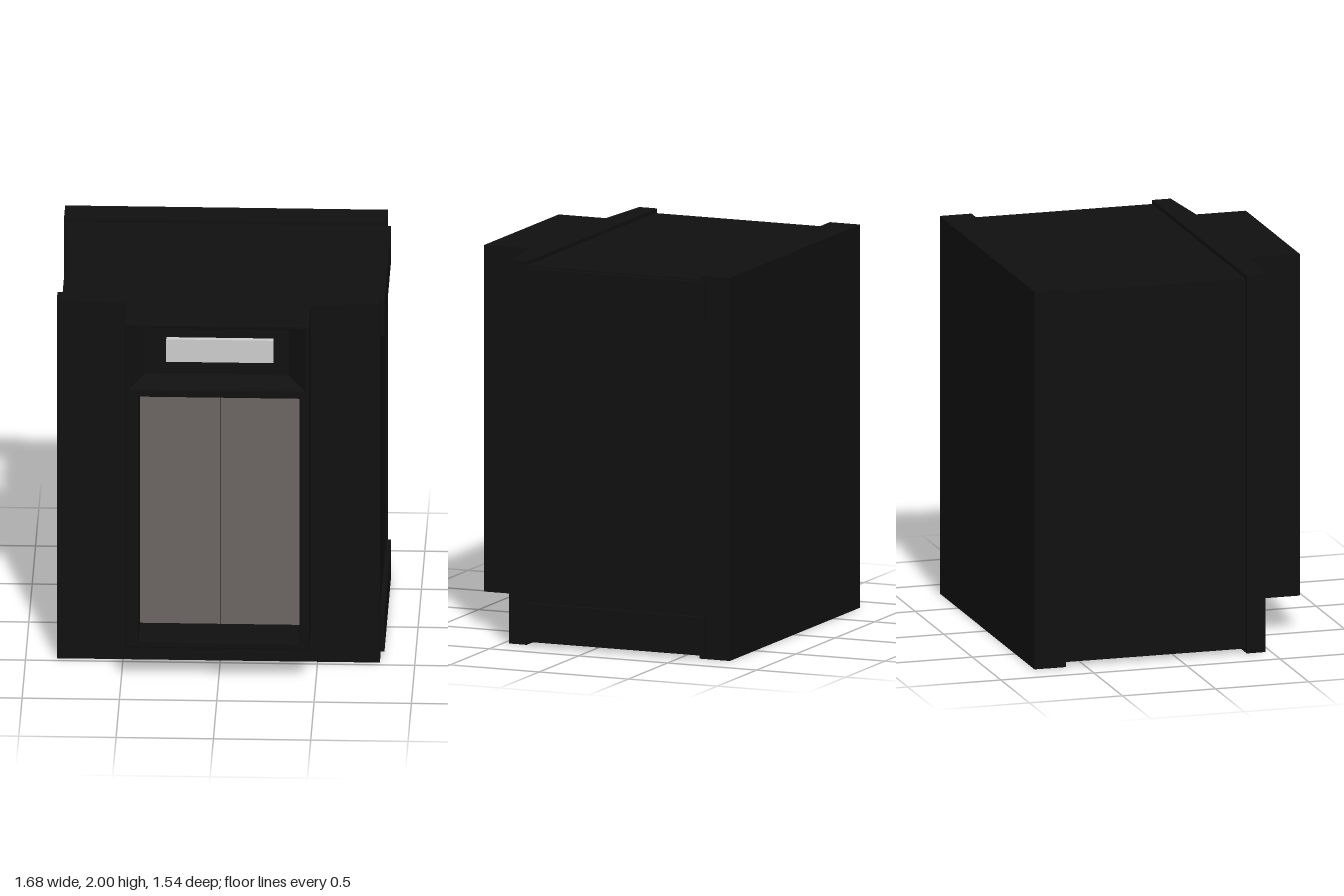
import * as THREE from 'three';

const dark = new THREE.MeshStandardMaterial({ color: 0x101010 });
const doorMat = new THREE.MeshStandardMaterial({ color: 0x6b6462 });
const grey = new THREE.MeshStandardMaterial({ color: 0xcccccc });

export function createModel() {
  const model = new THREE.Group();
  model.name = 'elevatorCabin';

  const add = (name, geometry, material = dark) => {
    const mesh = new THREE.Mesh(geometry, material);
    mesh.name = name;
    model.add(mesh);
    return mesh;
  };

  // Box given by its limits on each axis
  const box = (name, [x0, x1], [y0, y1], [z0, z1], material) =>
    add(name, new THREE.BoxGeometry(x1 - x0, y1 - y0, z1 - z0), material)
      .position.set((x0 + x1) / 2, (y0 + y1) / 2, (z0 + z1) / 2);

  const rect = (Type, x0, x1, y0, y1) => new Type([
    [x0, y0], [x1, y0], [x1, y1], [x0, y1],
  ].map(([x, y]) => new THREE.Vector2(x, y)));

  // Cabin with a thicker frame at the back and the front
  box('cabinBody', [-0.815, 0.815], [0.02, 1.98], [-0.65, 0.4]);
  box('backFrame', [-0.84, 0.82], [0, 2], [-0.77, -0.6]);
  box('frontFrame', [-0.84, 0.82], [0, 2], [0.37, 0.47]);

  // Raised bands along one side
  for (const [name, y0, y1] of [['lowerSideBand', 0.02, 0.22], ['upperSideBand', 1.78, 1.97]]) {
    box(name, [0.8, 0.84], [y0, y1], [-0.63, 0.37]);
  }

  // Slanted header panels beside the portal
  for (const [name, outer, inner] of [['leftHeader', 0.82, 0.45], ['rightHeader', -0.84, -0.47]]) {
    const plan = new THREE.Shape([[outer, 0.46], [outer, 0.47], [inner, 0.5], [inner, 0.46]]
      .map(([x, z]) => new THREE.Vector2(x, -z)));
    const panel = new THREE.ExtrudeGeometry(plan, { depth: 0.37, bevelEnabled: false });
    add(name, panel.rotateX(-Math.PI / 2).translate(0, 1.63, 0));
  }

  // Portal with a doorway and a sign opening
  const portal = rect(THREE.Shape, -0.48, 0.465, 0.19, 2);
  portal.holes.push(
    rect(THREE.Path, -0.41, 0.417, 0.23, 1.59),
    rect(THREE.Path, -0.455, 0.44, 1.635, 1.975),
  );
  add('portal', new THREE.ExtrudeGeometry(portal, {
    depth: 0.3, bevelEnabled: true, bevelSize: 0.008, bevelOffset: -0.008,
    bevelThickness: 0.008, bevelSegments: 2,
  }).translate(0, 0, 0.462));

  // Sign recess: four sloping sides and a back, as a loft between two rectangles
  const corners = (x0, x1, y0, y1, z) => [x0, y0, z, x1, y0, z, x1, y1, z, x0, y1, z];
  const recess = new THREE.BufferGeometry();
  recess.setAttribute('position', new THREE.Float32BufferAttribute([
    ...corners(-0.46, 0.445, 1.63, 1.98, 0.764),
    ...corners(-0.38, 0.36, 1.68, 1.95, 0.67),
  ], 3));
  const index = [4, 5, 6, 4, 6, 7];
  for (let i = 0; i < 4; i++) {
    const j = (i + 1) % 4;
    index.push(i, j, j + 4, i, j + 4, i + 4);
  }
  recess.setIndex(index);
  const flatRecess = recess.toNonIndexed();
  flatRecess.computeVertexNormals();
  add('signRecess', flatRecess);

  // Display and the two sliding door leaves
  box('display', [-0.27, 0.28], [1.76, 1.885], [0.665, 0.7], grey);
  box('rightDoor', [-0.412, 0.002], [0.228, 1.592], [0.465, 0.53], doorMat);
  box('leftDoor', [0.005, 0.419], [0.228, 1.592], [0.465, 0.53], doorMat);

  return model;
}
